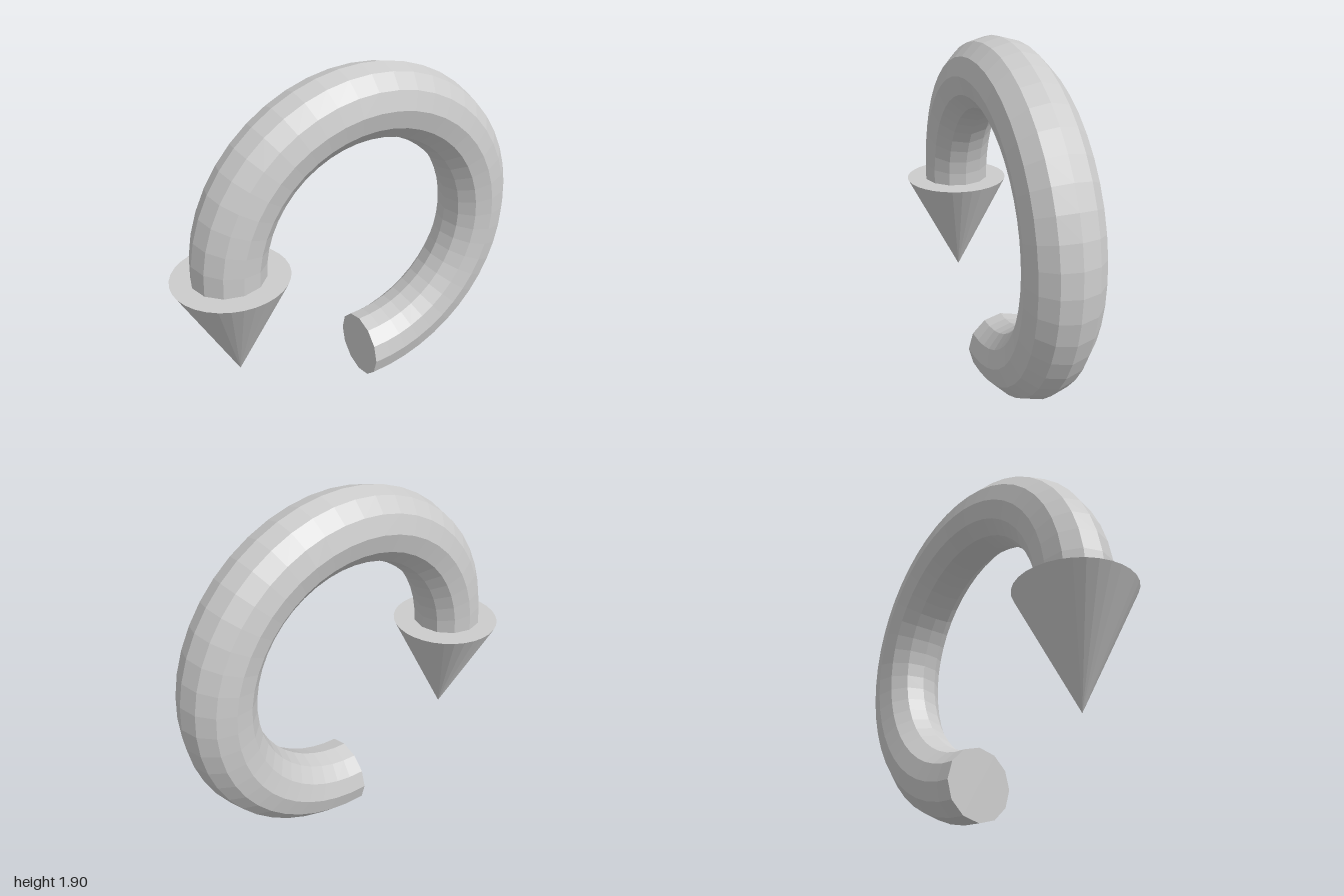
import * as THREE from 'three';

export function createModel() {
  const group = new THREE.Group();
  const material = new THREE.MeshStandardMaterial({ color: 0xcccccc, flatShading: true });
  const ringRadius = 0.76, tubeRadius = 0.19, sides = 12;
  const cx = 0.05, cy = ringRadius + tubeRadius;

  function add(name, geometry, x, y) {
    const mesh = new THREE.Mesh(geometry, material);
    mesh.name = name;
    mesh.position.set(x, y, 0);
    group.add(mesh);
    return mesh;
  }

  // Three-quarter ring, from the bottom round the +x side to the -x side
  const shaft = add('curvedShaft',
    new THREE.TorusGeometry(ringRadius, tubeRadius, sides, 36, Math.PI * 1.5), cx, cy);
  shaft.rotation.z = -Math.PI / 2;

  // Flat cap closing the tail of the shaft
  const cap = add('tailCap', new THREE.CircleGeometry(tubeRadius, sides), cx, tubeRadius);
  cap.rotation.y = -Math.PI / 2;

  // Arrowhead pointing straight down
  const head = add('arrowHead', new THREE.ConeGeometry(0.3, 0.6, 32), -0.7, 0.653);
  head.rotation.x = Math.PI;

  return group;
}
